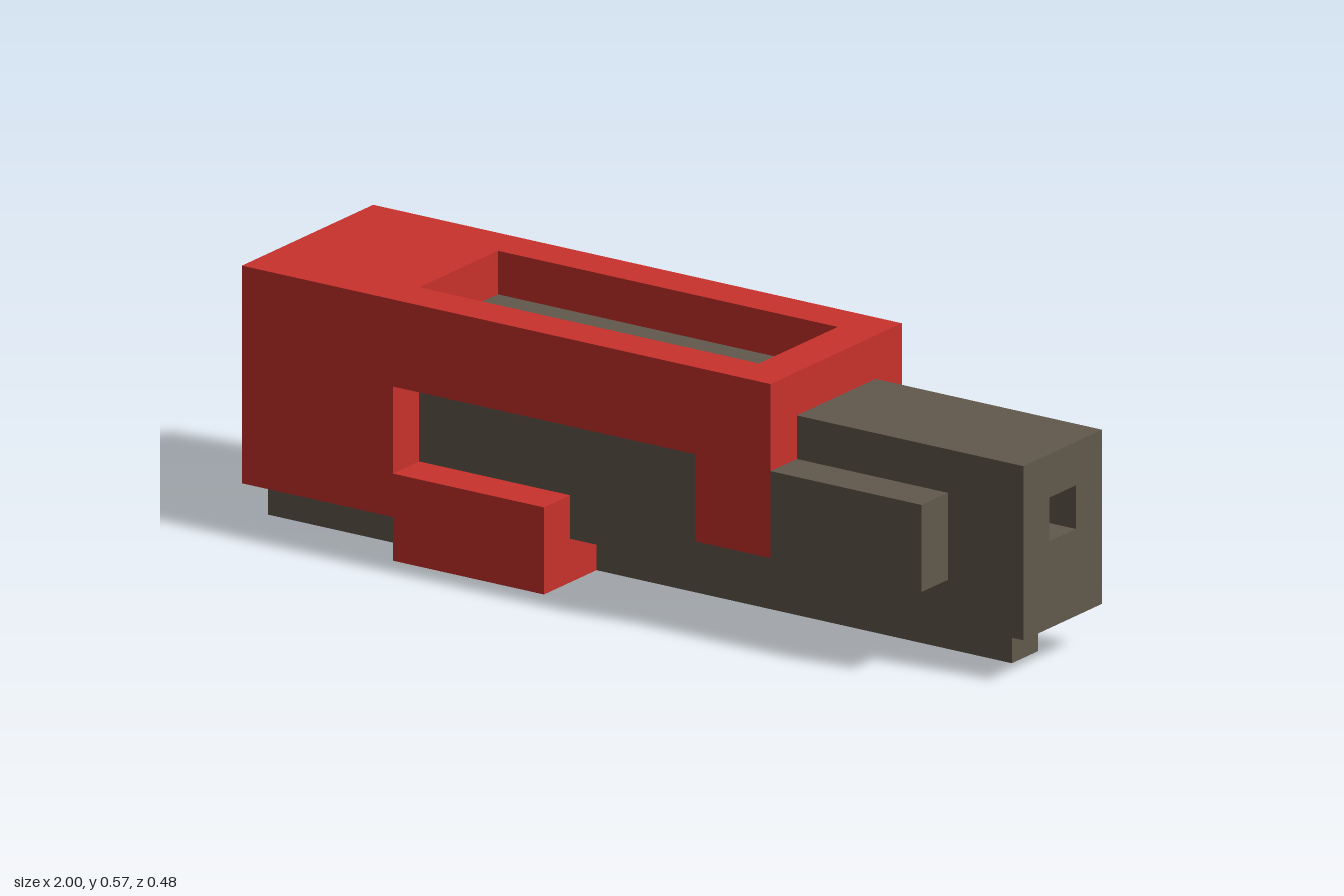
import * as THREE from 'three';

const U = 2 / 21; // one grid step; x is counted from the rear end, y from the ground

export function createModel() {
  const red = new THREE.MeshStandardMaterial({ color: 0xc8322c });
  red.name = 'red';
  const grey = new THREE.MeshStandardMaterial({ color: 0x61594c });
  grey.name = 'warm grey';

  const model = new THREE.Group();
  model.name = 'model';

  const add = (name, geometry, material) => {
    const mesh = new THREE.Mesh(geometry, material);
    mesh.name = name;
    model.add(mesh);
    return mesh;
  };

  // Box between two corners, in grid steps
  const box = (name, material, x0, x1, y0, y1, z0, z1) => {
    const g = new THREE.BoxGeometry((x1 - x0) * U, (y1 - y0) * U, (z1 - z0) * U);
    g.translate((x0 + x1) / 2 * U - 1, (y0 + y1) / 2 * U, (z0 + z1) / 2 * U);
    return add(name, g, material);
  };

  const outline = (points) =>
    new THREE.Shape(points.map(([x, y]) => new THREE.Vector2(x * U, y * U)));

  // Inner body, with a square bore in its front end
  box('bodyRear', grey, 1, 5, 2, 5, -1.5, 1.5);
  box('body', grey, 5, 20, 1, 5, -1.5, 1.5);
  const nose = outline([[-1.5, 1], [1.5, 1], [1.5, 5], [-1.5, 5]]);
  nose.holes.push(outline([[-0.5, 3], [-0.5, 4], [0.5, 4], [0.5, 3]]));
  const noseGeometry = new THREE.ExtrudeGeometry(nose, { depth: U, bevelEnabled: false });
  noseGeometry.rotateY(Math.PI / 2).translate(20 * U - 1, 0, 0);
  add('bodyNose', noseGeometry, grey);

  // Rear pin and the rails underneath
  box('rearPin', grey, 0, 1, 3, 4, -0.5, 0.5);
  box('rearRail', grey, 1, 5, 0, 1, -1.5, 1.5);
  box('frontRail', grey, 9, 20, 0, 1, -0.5, 0.5);

  // Casing sides with their open windows, and the side bars ahead of them
  const side = outline([
    [1, 1], [5, 1], [5, 0], [9, 0], [9, 2], [5, 2],
    [5, 4], [13, 4], [13, 2], [15, 2], [15, 6], [1, 6],
  ]);
  for (const [label, z] of [['left', 1.5], ['right', -2.5]]) {
    const g = new THREE.ExtrudeGeometry(side, { depth: U, bevelEnabled: false });
    g.translate(-1, 0, z * U);
    add(label + 'CasingSide', g, red);
    box(label + 'SideBar', grey, 15, 19, 2, 4, z, z + 1);
  }

  // Casing pieces that join the two sides
  box('casingRoofRear', red, 1, 5, 5, 6, -1.5, 1.5);
  box('casingRoofFront', red, 14, 15, 5, 6, -1.5, 1.5);
  box('casingFloor', red, 1, 5, 1, 2, -1.5, 1.5);
  box('clampFloor', red, 5, 9, 0, 1, -1.5, 1.5);

  return model;
}
